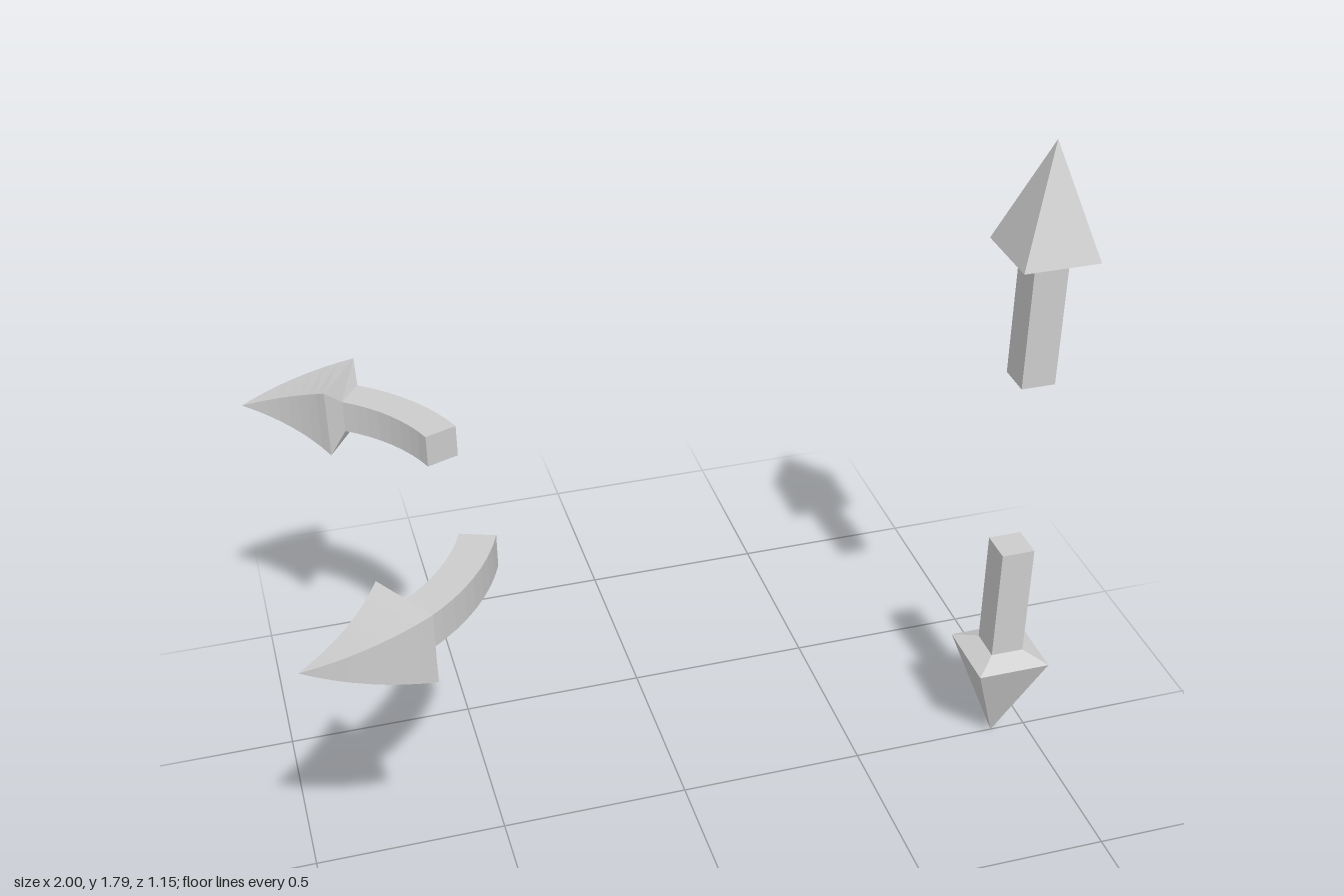
import * as THREE from 'three';

const material = new THREE.MeshStandardMaterial({ color: 0xcccccc, flatShading: true });
const CORNERS = [[-1, -1], [1, -1], [1, 1], [-1, 1]];

// Sweep a square section through [station, halfSize] pairs; place(s, u, v) maps it into space
function sweep(name, sections, place, startCap = false) {
  const rings = sections.map(([s, h]) => CORNERS.map(([u, v]) => place(s, u * h, v * h)));
  const points = [];
  for (let i = 0; i < rings.length - 1; i++) {
    for (let k = 0; k < 4; k++) {
      const n = (k + 1) % 4;
      const [a, b, c, d] = [rings[i][k], rings[i][n], rings[i + 1][n], rings[i + 1][k]];
      points.push(a, b, c);
      if (sections[i + 1][1] > 0) points.push(a, c, d); // single triangle at the tip
    }
  }
  if (startCap) {
    const [a, b, c, d] = rings[0];
    points.push(a, c, b, a, d, c);
  }
  const geometry = new THREE.BufferGeometry().setFromPoints(points);
  geometry.computeVertexNormals();
  const mesh = new THREE.Mesh(geometry, material);
  mesh.name = name;
  return mesh;
}

// Evenly subdivide between two sections so that bent pieces follow the arc
function steps(from, to, count) {
  return Array.from({ length: count + 1 }, (_, i) => {
    const t = i / count;
    return from.map((value, j) => (i === count ? to[j] : value + (to[j] - value) * t));
  });
}

// Arrow: square shaft, short flared collar and pyramid head
function arrow(name, { start, neck, base, tip, shaftHalf, headHalf, count }, place) {
  const group = new THREE.Group();
  group.name = name;
  group.add(
    sweep('shaft', steps([start, shaftHalf], [neck, shaftHalf], count), place, true),
    sweep('head', [[neck, shaftHalf], ...steps([base, headHalf], [tip, 0], count)], place)
  );
  return group;
}

export function createModel() {
  const model = new THREE.Group();
  model.name = 'directionArrows';

  // Straight vertical pair, mirrored about the middle height
  const middle = 0.905;
  const straight = { start: 0.255, neck: 0.585, base: 0.61, tip: 0.897, shaftHalf: 0.045, headHalf: 0.1, count: 1 };
  model.add(
    arrow('upArrow', straight, (s, u, v) => new THREE.Vector3(0.9 + v, middle + s, u)),
    arrow('downArrow', straight, (s, u, v) => new THREE.Vector3(0.9 + u, middle - s, v))
  );

  // Curved horizontal pair, bent along an arc; stations are angles in radians
  const rad = THREE.MathUtils.degToRad;
  const curved = {
    start: rad(20.5), neck: rad(55.2), base: rad(58), tip: rad(87),
    shaftHalf: 0.0425, headHalf: 0.09, count: 8
  };
  const bend = (angle, radial, height, side) => {
    const radius = 0.507 + radial;
    return new THREE.Vector3(
      -1.027 + radius * Math.cos(angle),
      1.08 + height,
      side * (0.048 + radius * Math.sin(angle))
    );
  };
  model.add(
    arrow('backCurvedArrow', curved, (s, u, v) => bend(s, v, u, -1)),
    arrow('frontCurvedArrow', curved, (s, u, v) => bend(s, u, v, 1))
  );

  return model;
}
